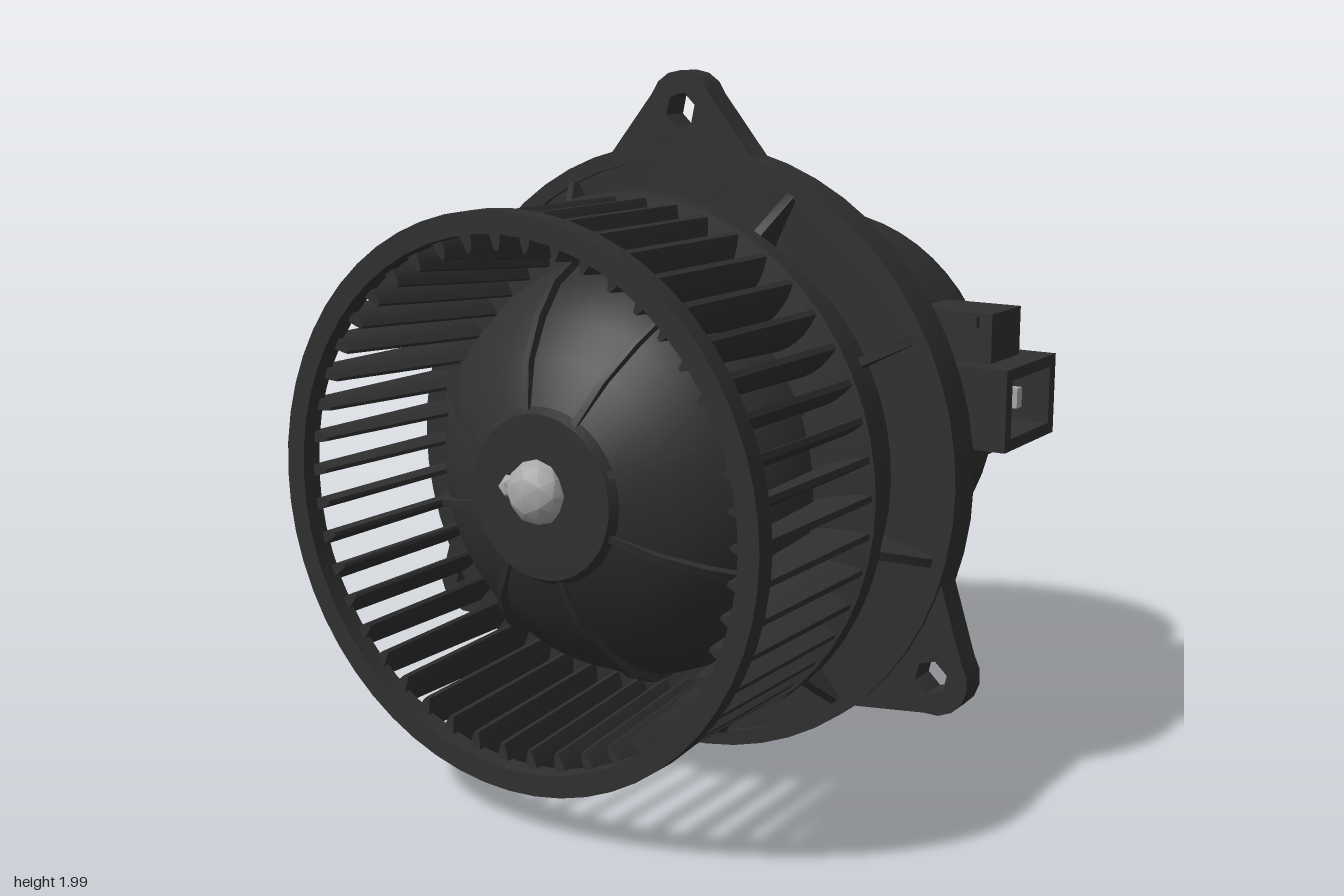
import * as THREE from 'three';
import { toCreasedNormals } from 'three/addons/utils/BufferGeometryUtils.js';

const plastic = new THREE.MeshStandardMaterial({ color: 0x303030 });
plastic.name = 'blackPlastic';
const metal = new THREE.MeshStandardMaterial({ color: 0xa8a8a8 });
metal.name = 'paleMetal';

const DEG = Math.PI / 180;
const polar = (r, a) => new THREE.Vector2(r * Math.cos(a), r * Math.sin(a));
const vecs = pts => pts.map(p => new THREE.Vector2(p[0], p[1]));

function add(parent, name, geo, mat = plastic) {
  const mesh = new THREE.Mesh(toCreasedNormals(geo, 0.6), mat);
  mesh.name = name;
  parent.add(mesh);
  return mesh;
}

// Body of revolution about z; points are [radius, z] from back to front
function turned(pts, segments = 56, start = 0, length = Math.PI * 2) {
  return new THREE.LatheGeometry(vecs(pts), segments, start, length).rotateX(Math.PI / 2);
}

// Square-section ring about z
function ringGeo(inner, outer, z0, z1) {
  return turned([[inner, z0], [outer, z0], [outer, z1], [inner, z1], [inner, z0]]);
}

// Thin plate standing on the axis; points are [radius, z]
function radialPlate(pts, thickness, angle) {
  return new THREE.ExtrudeGeometry(new THREE.Shape(vecs(pts)), { depth: thickness, bevelEnabled: false })
    .translate(0, 0, -thickness / 2).rotateX(Math.PI / 2).rotateZ(angle);
}

function extruded(shape, z0, z1) {
  return new THREE.ExtrudeGeometry(shape, { depth: z1 - z0, bevelEnabled: false, curveSegments: 24 })
    .translate(0, 0, z0);
}

function circleHole(x, y, r, sides) {
  const pts = [];
  for (let i = 0; i < sides; i++) pts.push(polar(r, -i / sides * Math.PI * 2 + 0.3).add(new THREE.Vector2(x, y)));
  return new THREE.Path(pts);
}

function buildFlange() {
  const g = new THREE.Group();
  g.name = 'mountingFlange';
  // Round plate with three rounded ears
  const R = 0.885, earR = 0.99, half = 16 * DEG;
  const ears = [-33, 90, 213].map(d => d * DEG);
  const pts = [];
  ears.forEach((a, e) => {
    pts.push(polar(R, a - half));
    for (let i = -3; i <= 3; i++) pts.push(polar(earR, a).add(polar(0.105, a + i * 23 * DEG)));
    const from = a + half;
    const to = (e < 2 ? ears[e + 1] : ears[0] + Math.PI * 2) - half;
    for (let i = 0; i < 16; i++) pts.push(polar(R, from + (to - from) * i / 16));
  });
  const shape = new THREE.Shape(pts);
  shape.holes.push(circleHole(0, 0, 0.6, 40));
  ears.forEach(a => {
    const c = polar(earR - 0.005, a);
    shape.holes.push(circleHole(c.x, c.y, 0.05, 6));
  });
  add(g, 'flangePlate', extruded(shape, -0.045, 0.04));
  add(g, 'flangeLip', ringGeo(0.845, 0.89, -0.06, 0.055));
  // Gussets in front and behind
  for (const d of [64, 28, -14, -51, -79]) {
    for (const a of [d, 180 - d]) {
      add(g, 'frontGusset', radialPlate([[0.66, 0.03], [0.86, 0.03], [0.85, 0.06], [0.72, 0.17], [0.66, 0.17]], 0.025, a * DEG));
      add(g, 'rearGusset', radialPlate([[0.64, -0.03], [0.64, -0.2], [0.69, -0.19], [0.86, -0.06], [0.86, -0.03]], 0.025, (a + 6) * DEG));
    }
  }
  return g;
}

function buildHousing() {
  const g = new THREE.Group();
  g.name = 'housing';
  add(g, 'housingBody', turned([[0, -0.33], [0.655, -0.33], [0.665, -0.27], [0.68, -0.05], [0.69, 0.04],
    [0.69, 0.16], [0.74, 0.165], [0.74, 0.205], [0.70, 0.21], [0.70, 0.23], [0, 0.23]]));
  // Raised panels around the rear of the housing
  for (let i = 0; i < 6; i++) {
    const pts = [[0.64, -0.34], [0.685, -0.335], [0.69, -0.27], [0.70, -0.05], [0.64, -0.05]];
    const mid = i * Math.PI / 3, w = 0.42;
    const geo = turned(pts, 8, mid - w / 2, w);
    add(g, 'housingPanel', geo);
    for (const s of [-1, 1]) {
      add(g, 'panelEdge', radialPlate([[0.62, -0.34], [0.692, -0.335], [0.705, -0.05], [0.62, -0.05]],
        0.02, mid + s * w / 2 - Math.PI / 2));
    }
  }
  return g;
}

function buildFan() {
  const g = new THREE.Group();
  g.name = 'blowerWheel';
  add(g, 'fanHub', turned([[0, 0.215], [0.77, 0.22], [0.77, 0.28], [0.72, 0.285], [0.595, 0.3], [0.585, 0.36],
    [0.54, 0.46], [0.46, 0.55], [0.36, 0.63], [0.24, 0.685], [0.225, 0.71], [0, 0.715]]));
  add(g, 'frontRim', ringGeo(0.71, 0.77, 0.8, 0.86));
  // Ribs over the domed hub
  for (const d of [22, 63, 103, 155, 193, 238, 283, 339]) {
    add(g, 'hubRib', radialPlate([[0.2, 0.3], [0.605, 0.3], [0.6, 0.38], [0.555, 0.48], [0.47, 0.575],
      [0.36, 0.655], [0.2, 0.71]], 0.02, d * DEG));
  }
  // Curved blades
  const blade = new THREE.Shape();
  blade.moveTo(0.61, -0.012);
  blade.quadraticCurveTo(0.68, -0.035, 0.76, 0.005);
  blade.lineTo(0.758, 0.022);
  blade.quadraticCurveTo(0.68, 0.018, 0.61, -0.002);
  const bladeGeo = new THREE.ExtrudeGeometry(blade, { depth: 0.57, bevelEnabled: false, curveSegments: 5 })
    .translate(0, 0, 0.25);
  // Inner edge leans outwards toward the front rim
  const p = bladeGeo.attributes.position;
  for (let i = 0; i < p.count; i++) {
    const front = (p.getZ(i) - 0.25) / 0.57;
    p.setX(i, p.getX(i) + front * 0.35 * (0.76 - p.getX(i)));
  }
  const count = 46;
  for (let i = 0; i < count; i++) {
    add(g, 'blade', bladeGeo).rotation.z = i / count * Math.PI * 2;
  }
  // Shaft end with a small side nub
  const tip = add(g, 'shaftTip', new THREE.IcosahedronGeometry(0.09, 1), metal);
  tip.position.set(-0.005, 0.015, 0.71);
  tip.scale.set(1, 1, 0.75);
  const nub = add(g, 'shaftNub', new THREE.IcosahedronGeometry(0.035, 0), metal);
  nub.position.set(-0.09, 0.02, 0.715);
  return g;
}

function rect(w, h, Type) {
  return new Type(vecs([[-w / 2, -h / 2], [w / 2, -h / 2], [w / 2, h / 2], [-w / 2, h / 2]]));
}

function buildConnector() {
  const g = new THREE.Group();
  g.name = 'connector';
  // Open socket facing outwards
  const frame = rect(0.35, 0.24, THREE.Shape);
  frame.holes.push(rect(0.27, 0.17, THREE.Path));
  add(g, 'socketFrame', extruded(frame, 0.66, 0.845).rotateY(Math.PI / 2));
  add(g, 'socketBase', new THREE.BoxGeometry(0.2, 0.24, 0.35).translate(0.57, 0, 0));
  add(g, 'upperLatch', new THREE.BoxGeometry(0.24, 0.17, 0.2).translate(0.64, 0.18, 0));
  add(g, 'latchCap', new THREE.BoxGeometry(0.2, 0.03, 0.24).translate(0.62, 0.24, 0));
  add(g, 'lowerSupport', new THREE.BoxGeometry(0.2, 0.08, 0.26).translate(0.62, -0.13, 0));
  for (const z of [-0.045, 0.045]) {
    add(g, 'terminalPin', new THREE.BoxGeometry(0.13, 0.06, 0.035).translate(0.725, 0, z), metal);
  }
  return g;
}

export function createModel() {
  const model = new THREE.Group();
  model.name = 'blowerMotor';
  const axisY = 0.905;
  for (const part of [buildFlange(), buildHousing(), buildFan()]) {
    part.position.y = axisY;
    model.add(part);
  }
  // Motor can with a rounded rear edge
  const can = add(model, 'motorCan', turned([[0, -0.86], [0.56, -0.86], [0.585, -0.85], [0.602, -0.825],
    [0.607, -0.79], [0.607, -0.3], [0, -0.3]]));
  can.position.y = 0.935;
  for (const turn of [0, Math.PI]) {
    const c = buildConnector();
    c.position.set(0, 1.045, -0.535);
    c.rotation.y = turn;
    model.add(c);
  }
  return model;
}
